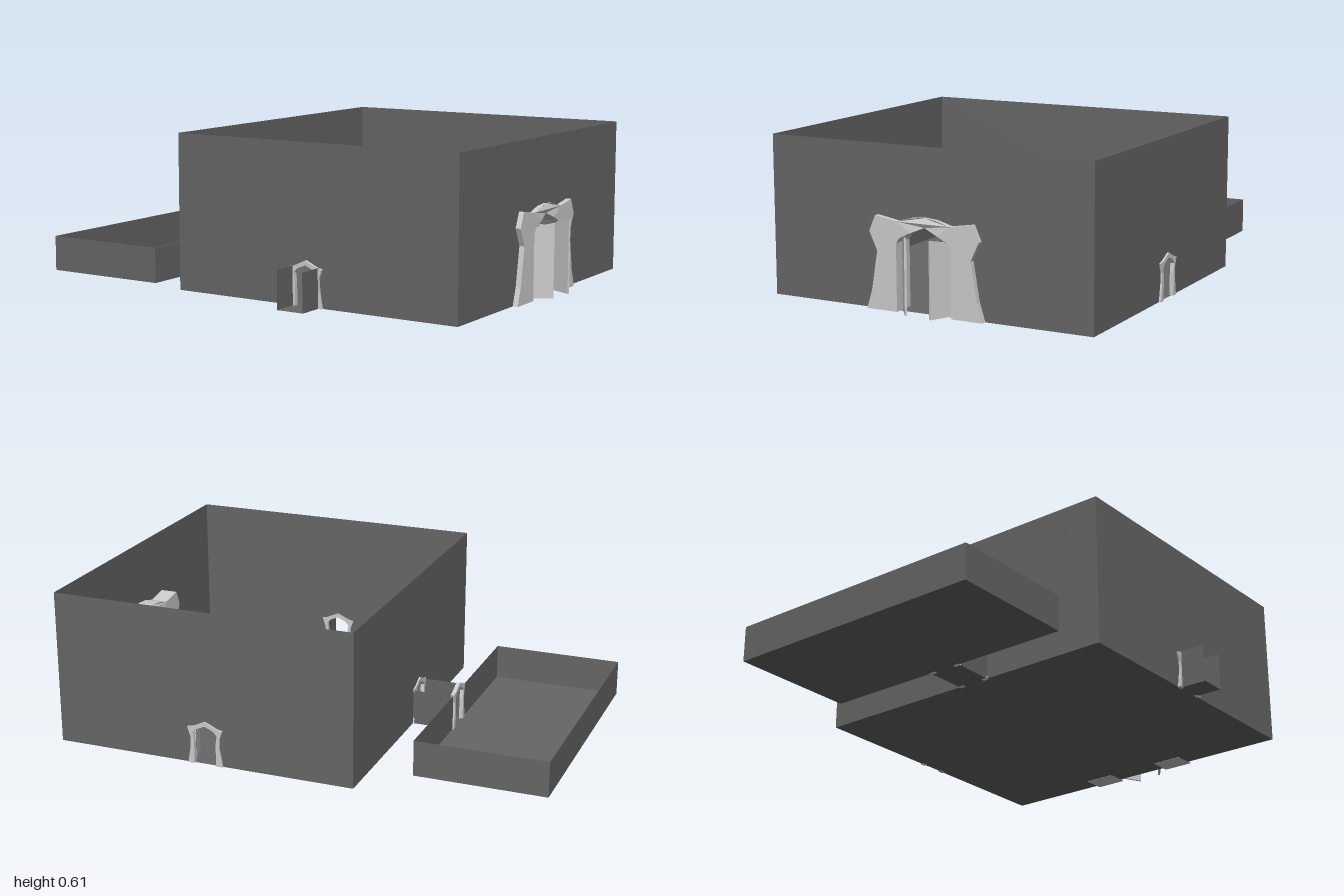
import * as THREE from 'three';

const stone = new THREE.MeshStandardMaterial({ color: 0x666666, side: THREE.DoubleSide, flatShading: true });
const trim = new THREE.MeshStandardMaterial({ color: 0xcccccc, side: THREE.DoubleSide, flatShading: true });

// Outlines run left foot -> over the top -> right foot, about the door's centre line
const smallOuter = [[-0.072, 0], [-0.06, 0.07], [-0.06, 0.11], [-0.073, 0.147], [-0.05, 0.152], [0, 0.175],
  [0.05, 0.152], [0.073, 0.147], [0.06, 0.11], [0.06, 0.07], [0.072, 0]];
const smallInner = [[-0.045, 0], [-0.045, 0.09], [-0.05, 0.125], [-0.035, 0.142], [0, 0.157],
  [0.035, 0.142], [0.05, 0.125], [0.045, 0.09], [0.045, 0]];
const bigOuter = [[-0.242, 0], [-0.22, 0.07], [-0.195, 0.22], [-0.228, 0.29], [-0.202, 0.35], [-0.11, 0.335],
  [-0.05, 0.352], [0, 0.356], [0.05, 0.352], [0.11, 0.335], [0.202, 0.35], [0.228, 0.29], [0.195, 0.22], [0.22, 0.07], [0.242, 0]];
const bigInner = [[-0.114, 0], [-0.114, 0.255], [-0.1, 0.275], [-0.055, 0.297], [0, 0.32],
  [0.055, 0.297], [0.1, 0.275], [0.114, 0.255], [0.114, 0]];

const toShape = pts => new THREE.Shape(pts.map(([x, y]) => new THREE.Vector2(x, y)));
const shift = (pts, c) => pts.map(([x, y]) => [x + c, y]);

function add(parent, name, geometry, material) {
  const mesh = new THREE.Mesh(geometry, material);
  mesh.name = name;
  parent.add(mesh);
  return mesh;
}

// Places something drawn in the XY plane on a wall facing x or z
function place(mesh, axis, at) {
  if (axis === 'x') mesh.rotation.y = -Math.PI / 2;
  mesh.position[axis] = at;
  return mesh;
}

// Thin wall from a to b, with an optional doorway cut up from the floor
function wall(parent, name, axis, at, a, b, h, doorway = []) {
  const pts = [[a, 0], ...doorway, [b, 0], [b, h], [a, h]];
  place(add(parent, name, new THREE.ShapeGeometry(toShape(pts)), stone), axis, at);
}

function floor(parent, name, x0, x1, z0, z1) {
  const g = new THREE.PlaneGeometry(x1 - x0, z1 - z0).rotateX(-Math.PI / 2);
  add(parent, name, g, stone).position.set((x0 + x1) / 2, 0.001, (z0 + z1) / 2);
}

// Door surround: outer outline joined to the opening
function frame(parent, name, axis, at, centre, outer, inner, depth, pinch = 0) {
  const g = new THREE.ExtrudeGeometry(toShape([...outer, ...[...inner].reverse()]), { depth, bevelEnabled: false });
  g.translate(0, 0, -depth / 2);
  // The crown narrows toward its centre
  const p = g.attributes.position;
  for (let i = 0; i < p.count; i++) {
    if (Math.abs(p.getX(i)) < 0.03 && p.getY(i) > 0.2) p.setZ(i, p.getZ(i) * (1 - pinch));
  }
  g.translate(centre, 0, 0);
  g.computeVertexNormals();
  place(add(parent, name, g, trim), axis, at);
}

// Door leaf hung at (x0, z0) with its free edge at (x1, z1)
function leaf(parent, name, x0, z0, x1, z1, hingeTop, freeTop, thick) {
  const group = new THREE.Group();
  group.name = name;
  const w = Math.hypot(x1 - x0, z1 - z0);
  const mid = hingeTop + (freeTop - hingeTop) * 0.65;
  const outline = [[0, 0.005], [w, 0.005], [w, freeTop], [w * 0.4, mid], [0, hingeTop]];
  const g = new THREE.ExtrudeGeometry(toShape(outline), { depth: thick, bevelEnabled: false });
  add(group, 'doorPanel', g.translate(0, 0, -thick / 2), trim);
  for (const f of [0.27, 0.72]) {
    add(group, 'hinge', new THREE.CylinderGeometry(thick * 0.7, thick * 0.7, hingeTop * 0.1, 8), trim)
      .position.y = hingeTop * f;
  }
  group.position.set(x0, 0, z0);
  group.rotation.y = Math.atan2(z0 - z1, x1 - x0);
  parent.add(group);
}

export function createModel() {
  const model = new THREE.Group();
  model.name = 'roomsAndDoorways';

  // Main hall, open above
  const hall = new THREE.Group();
  hall.name = 'mainHall';
  const [x0, x1, z0, z1, h] = [-0.31, 0.915, -0.72, 0.61, 0.612];
  floor(hall, 'hallFloor', x0, x1, z0, z1);
  wall(hall, 'frontWall', 'z', z1, x0, x1, h, shift(smallInner, 0.28));
  wall(hall, 'backWall', 'z', z0, x0, x1, h, shift(smallInner, 0.29));
  wall(hall, 'leftWall', 'x', x1, z0, z1, h, shift(bigInner, -0.052));
  wall(hall, 'rightWall', 'x', x0, z0, z1, h, shift(smallInner, 0.012));
  model.add(hall);

  // Low side room
  const room = new THREE.Group();
  room.name = 'sideRoom';
  const low = 0.142;
  floor(room, 'sideRoomFloor', -1, -0.477, -0.53, 0.555);
  for (const z of [-0.53, 0.555]) wall(room, 'sideRoomEndWall', 'z', z, -1, -0.477, low);
  wall(room, 'sideRoomOuterWall', 'x', -1, -0.53, 0.555, low);
  wall(room, 'sideRoomInnerWall', 'x', -0.477, -0.53, -0.056, low);
  wall(room, 'sideRoomInnerWall', 'x', -0.477, 0.082, 0.555, low);
  model.add(room);

  // Passage between the rooms
  const passage = new THREE.Group();
  passage.name = 'passage';
  floor(passage, 'passageFloor', -0.477, x0, -0.056, 0.082);
  for (const z of [-0.056, 0.082]) wall(passage, 'passageWall', 'z', z, -0.477, x0, low);
  model.add(passage);

  // Short porch in front
  const porch = new THREE.Group();
  porch.name = 'frontPorch';
  floor(porch, 'porchFloor', 0.225, 0.336, z1, 0.722);
  for (const x of [0.225, 0.336]) wall(porch, 'porchWall', 'x', x, z1, 0.722, 0.152);
  model.add(porch);

  // Door surrounds
  frame(model, 'frontDoorFrame', 'z', 0.613, 0.28, smallOuter, smallInner, 0.015);
  frame(model, 'backDoorFrame', 'z', -0.72, 0.29, smallOuter, smallInner, 0.015);
  frame(model, 'passageFrame', 'x', -0.308, 0.012, smallOuter, smallInner, 0.015);
  frame(model, 'passageFrame', 'x', -0.475, 0.012, smallOuter, smallInner, 0.015);
  frame(model, 'mainDoorFrame', 'x', 0.89, -0.052, bigOuter, bigInner, 0.092, 0.2);

  // Opened doors
  leaf(model, 'mainDoorLeaf', 0.9, 0.055, 0.985, -0.007, 0.255, 0.292, 0.008);
  leaf(model, 'mainDoorLeaf', 0.9, -0.162, 0.997, -0.114, 0.255, 0.292, 0.008);
  leaf(model, 'backDoorLeaf', 0.337, -0.712, 0.363, -0.625, 0.12, 0.145, 0.004);
  return model;
}
